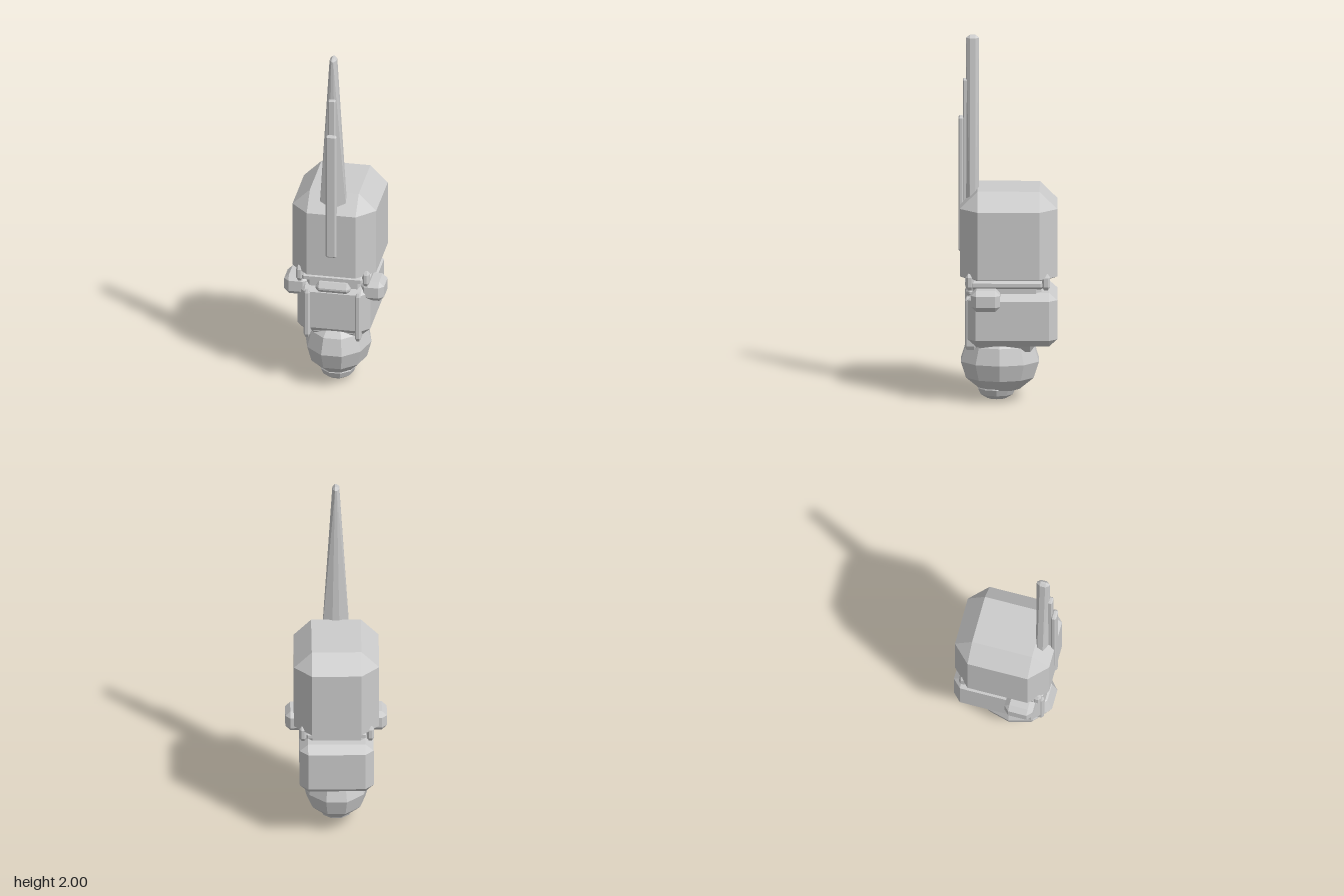
import * as THREE from 'three';
import { ConvexGeometry } from 'three/addons/geometries/ConvexGeometry.js';

const grey = new THREE.MeshStandardMaterial({ color: 0xcccccc, flatShading: true });

// Box between min and max with all edges cut; c = [x, y top, z, y bottom], topScale narrows x upwards
function chamferBox(min, max, c, topScale = 1) {
  const [cx, cTop, cz, cBottom = cTop] = c;
  const mid = (min[0] + max[0]) / 2;
  const points = [];
  for (const sx of [0, 1]) for (const sy of [0, 1]) for (const sz of [0, 1]) {
    const x = sx ? max[0] : min[0], y = sy ? max[1] : min[1], z = sz ? max[2] : min[2];
    const ix = x + (sx ? -cx : cx), iy = y + (sy ? -cTop : cBottom), iz = z + (sz ? -cz : cz);
    const k = sy ? topScale : 1;
    for (const p of [[x, iy, iz], [ix, y, iz], [ix, iy, z]])
      points.push(new THREE.Vector3(mid + (p[0] - mid) * k, p[1], p[2]));
  }
  return new ConvexGeometry(points);
}

export function createModel() {
  const group = new THREE.Group();
  const add = (name, geometry) => {
    const mesh = new THREE.Mesh(geometry, grey);
    mesh.name = name;
    group.add(mesh);
    return mesh;
  };
  const box = (name, ...args) => add(name, chamferBox(...args));

  // Main blocks
  box('upperBody', [-0.228, 0.675, -0.265], [0.228, 1.17, 0.257], [0.095, 0.095, 0.095, 0.03]);
  box('collarPlate', [-0.2, 0.64, -0.222], [0.2, 0.7, 0.23], [0.045, 0.02, 0.045]);
  box('waist', [-0.16, 0.58, -0.18], [0.16, 0.68, 0.19], [0.03, 0.02, 0.03]);
  box('lowerBody', [-0.198, 0.325, -0.265], [0.198, 0.62, 0.218], [0.045, 0.04, 0.045]);
  box('frontBuckle', [-0.095, 0.57, 0.15], [0.095, 0.64, 0.225], [0.02, 0.03, 0.02]);

  // Neck and small back wedge
  box('neck', [-0.14, 0.285, -0.15], [0.14, 0.36, 0.18], [0.03, 0.02, 0.03, 0.04]);
  const wedge = add('backWedge', new THREE.ConeGeometry(0.06, 0.09, 4).rotateX(Math.PI));
  wedge.position.set(0, 0.315, -0.125);

  // Mirrored details
  for (const s of [-1, 1]) {
    const side = s > 0 ? 'left' : 'right';
    const span = (a, b) => (s > 0 ? [a, b] : [-b, -a]);
    const [a0, a1] = span(0.14, 0.272);
    box(side + 'Arm', [a0, 0.535, 0.04], [a1, 0.65, 0.195], [0.027, 0.027, 0.027]);
    const [p0, p1] = span(0.122, 0.156);
    box(side + 'FrontPost', [p0, 0.305, 0.17], [p1, 0.595, 0.23], [0.01, 0.02, 0.01]);
    for (const [end, z] of [['Front', 0.203], ['Back', -0.205]]) {
      const [k0, k1] = span(0.16, 0.2);
      box(side + end + 'Knob', [k0, 0.64, z - 0.022], [k1, 0.73, z + 0.022], [0.012, 0.02, 0.012]);
    }
  }

  // Faceted ball and its rounded tip
  const ball = add('ball', new THREE.SphereGeometry(1, 10, 6));
  ball.scale.set(0.18, 0.18, 0.22);
  ball.position.set(0, 0.22, 0.043);
  const tip = add('ballTip', new THREE.SphereGeometry(1, 10, 6));
  tip.scale.set(0.098, 0.065, 0.105);
  tip.position.set(0, 0.068, 0.06);

  // Tall tapered blade and the two rods in front of it
  box('blade', [-0.074, 1.05, 0.154], [0.074, 2, 0.224], [0.054, 0.015, 0.02], 0.25);
  box('middleRod', [-0.02, 0.95, 0.212], [0.02, 1.76, 0.242], [0.006, 0.006, 0.006]);
  box('frontRod', [-0.029, 0.82, 0.237], [0.029, 1.555, 0.266], [0.008, 0.008, 0.008]);

  return group;
}
